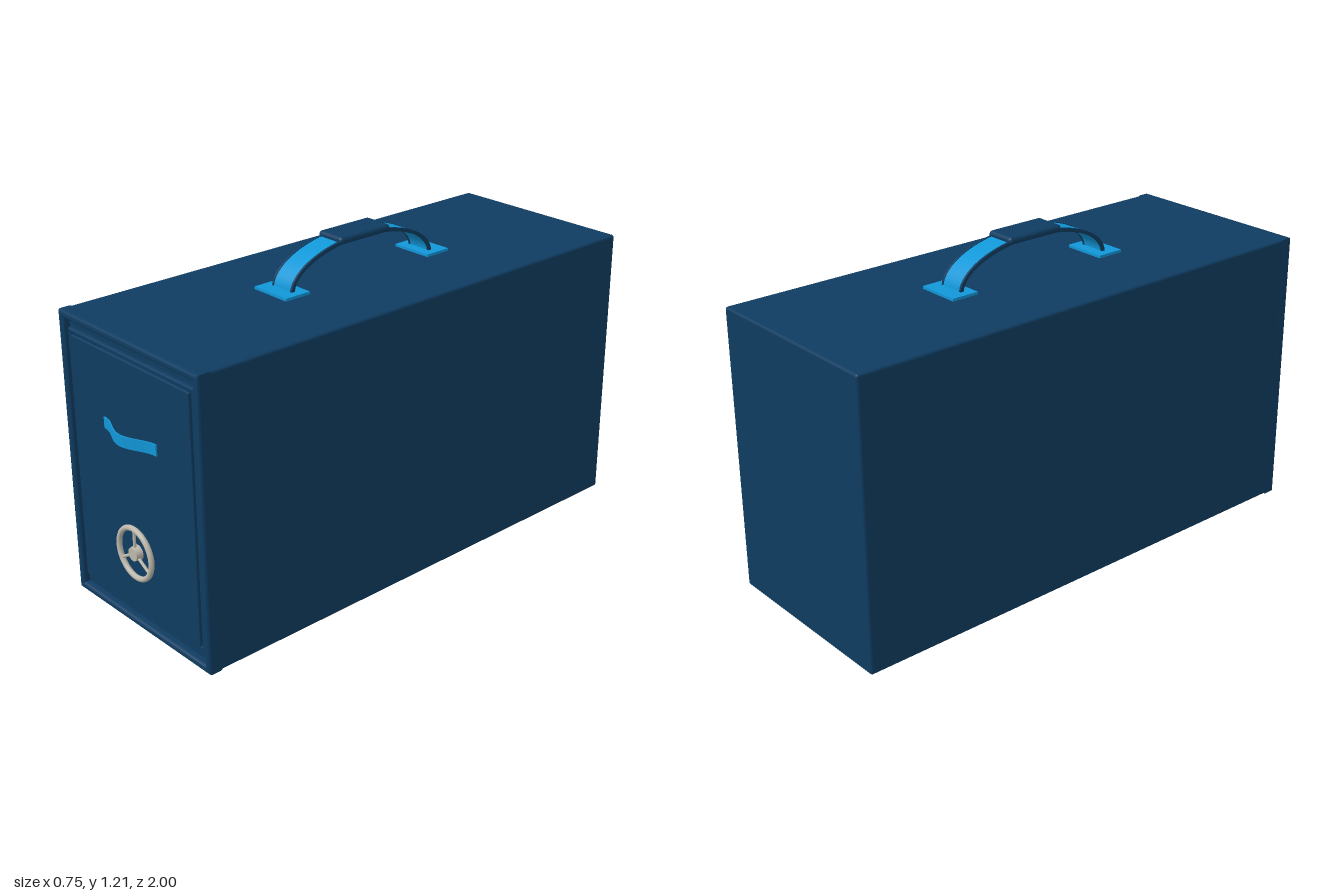
import * as THREE from 'three';
import { RoundedBoxGeometry } from 'three/addons/geometries/RoundedBoxGeometry.js';
import { toCreasedNormals } from 'three/addons/utils/BufferGeometryUtils.js';

const mat = (name, color) => Object.assign(new THREE.MeshStandardMaterial({ color }), { name });

// Closed band: outer points followed by inner points reversed
function bandShape(outer, inner) {
  return new THREE.Shape([...outer, ...inner.slice().reverse()]);
}

// Rectangle outline centred on the front face
function rect(target, halfW, y0, y1) {
  return target.moveTo(-halfW, y0).lineTo(halfW, y0).lineTo(halfW, y1).lineTo(-halfW, y1).closePath();
}

export function createModel() {
  const navy = mat('navyPaint', 0x0f3c61);
  const blue = mat('brightBlue', 0x1197d8);
  const steel = mat('steel', 0xbdb8ac);
  const model = new THREE.Group();
  model.name = 'carryCase';

  function add(name, geometry, material, x = 0, y = 0, z = 0, parent = model) {
    const mesh = new THREE.Mesh(geometry, material);
    mesh.name = name;
    mesh.position.set(x, y, z);
    parent.add(mesh);
    return mesh;
  }

  // Main body
  add('body', new RoundedBoxGeometry(0.75, 1.055, 1.93, 3, 0.01), navy, 0, 0.5275, -0.035);

  // Rectangular frames with bevelled edges, sizes are the finished ones
  function frame(name, halfW, y0, y1, border, back, front, bevel) {
    const shape = rect(new THREE.Shape(), halfW - bevel, y0 + bevel, y1 - bevel);
    const b = border - bevel;
    shape.holes.push(rect(new THREE.Path(), halfW - b, y0 + b, y1 - b));
    const geo = new THREE.ExtrudeGeometry(shape, {
      depth: front - back - 2 * bevel, bevelThickness: bevel, bevelSize: bevel, bevelSegments: 3,
    });
    add(name, toCreasedNormals(geo, 0.7), navy, 0, 0, back + bevel);
  }
  frame('frontRim', 0.375, 0, 1.055, 0.026, 0.9, 0.957, 0.01);
  frame('doorSurround', 0.34, 0.065, 0.997, 0.016, 0.915, 0.945, 0.005);

  // Door panel
  add('door', new RoundedBoxGeometry(0.638, 0.9, 0.04, 2, 0.004), navy, 0, 0.53, 0.93);

  // Bowed door pull, thin bell-shaped strip
  const bell = (offset) => Array.from({ length: 33 }, (_, i) => {
    const x = -0.143 + (0.286 * i) / 32;
    return new THREE.Vector2(x, 0.952 + 0.021 * (1 + Math.cos((Math.PI * x) / 0.143)) + offset);
  });
  const pull = new THREE.ExtrudeGeometry(bandShape(bell(0.005), bell(0)), { depth: 0.04, bevelEnabled: false });
  pull.rotateX(Math.PI / 2);
  add('doorPull', toCreasedNormals(pull, 0.6), blue, 0, 0.745, 0);

  // Three-spoked wheel
  const wheel = new THREE.Group();
  wheel.name = 'wheel';
  wheel.position.set(0, 0.297, 0.964);
  model.add(wheel);
  add('wheelRim', new THREE.TorusGeometry(0.091, 0.01, 12, 64), steel, 0, 0, 0, wheel);
  const hub = new THREE.CylinderGeometry(0.024, 0.028, 0.028, 32).rotateX(Math.PI / 2);
  add('wheelHub', hub, steel, 0, 0, -0.003, wheel);
  for (let i = 0; i < 3; i++) {
    const spoke = new THREE.CylinderGeometry(0.0055, 0.0055, 0.09, 10).translate(0, 0.045, 0);
    add('wheelSpoke', spoke, steel, 0, 0, 0, wheel).rotation.z = (i * Math.PI * 2) / 3;
  }

  // Carry handle: arched strap with dark edges
  const arc = (a, b) => Array.from({ length: 41 }, (_, i) => {
    const t = (Math.PI * i) / 40;
    return new THREE.Vector2(-0.02 + a * Math.cos(t), 1.058 + b * Math.sin(t));
  });
  function strap(name, x0, x1, material, outset) {
    const shape = bandShape(arc(0.33 + outset, 0.143 + outset), arc(0.32 - outset, 0.133 - outset));
    const geo = new THREE.ExtrudeGeometry(shape, { depth: x1 - x0, bevelEnabled: false });
    geo.rotateY(-Math.PI / 2);
    add(name, toCreasedNormals(geo, 0.6), material, x1, 0, 0);
  }
  strap('handleStrap', -0.044, 0.044, blue, 0);
  strap('handleEdge', 0.043, 0.051, navy, 0.002);
  strap('handleEdge', -0.051, -0.043, navy, 0.002);

  // Handle grip
  add('handleGrip', new RoundedBoxGeometry(0.12, 0.028, 0.235, 4, 0.0135), navy, 0, 1.196, -0.022);

  // Mounting plates under the strap ends
  for (const z of [0.31, -0.355]) {
    add('handlePlate', new THREE.BoxGeometry(0.164, 0.012, 0.105), blue, 0, 1.059, z);
  }
  return model;
}
